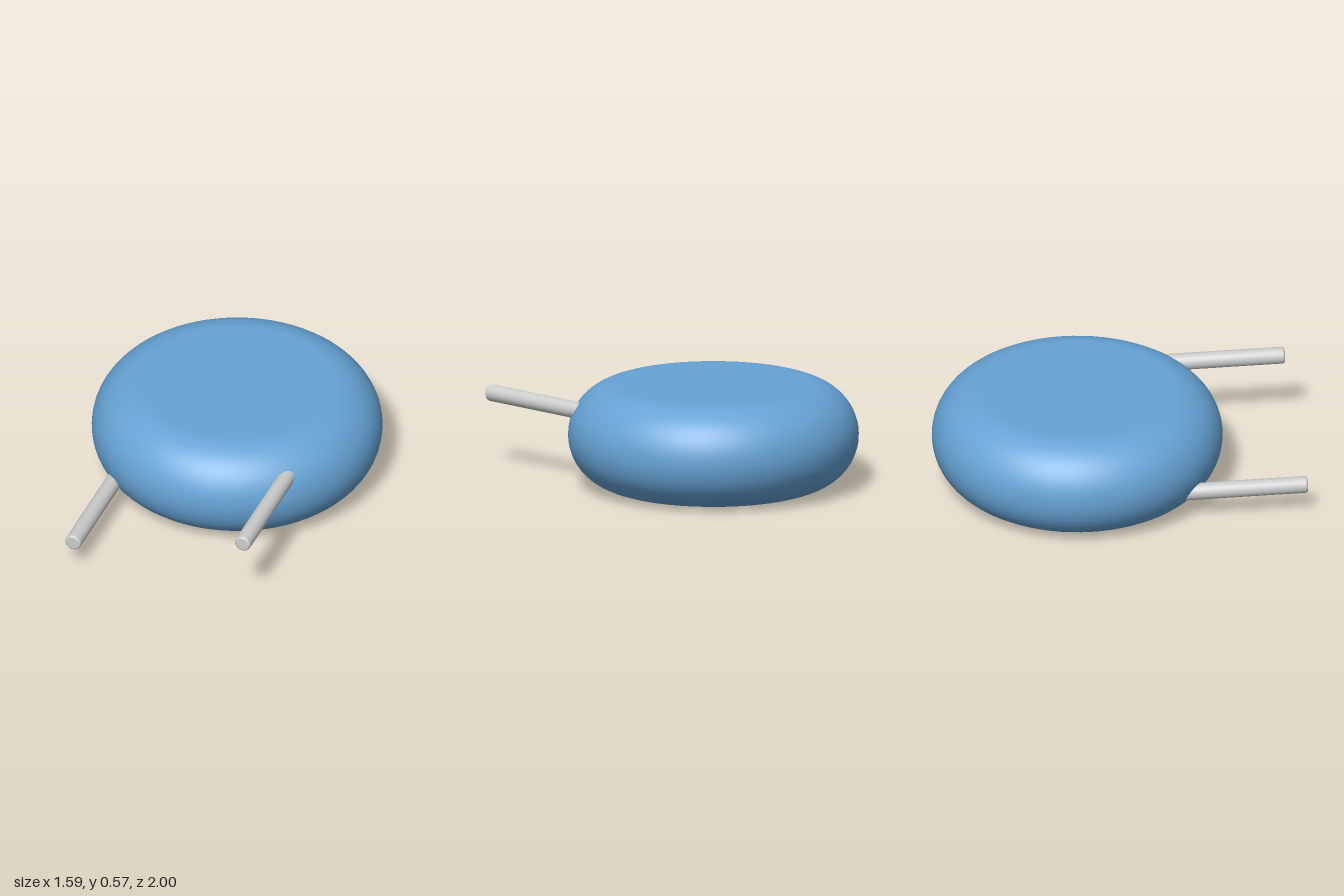
import * as THREE from 'three';

const grey = new THREE.MeshStandardMaterial({ color: 0xcccccc });
const blue = new THREE.MeshStandardMaterial({ color: 0x66a3d5 });

// Disc with a fully rounded rim
function makeBody() {
  const flat = 0.51, r = 0.285;
  const profile = [new THREE.Vector2(0, -r)];
  for (let i = 0; i <= 24; i++) {
    const a = -Math.PI / 2 + (Math.PI * i) / 24;
    profile.push(new THREE.Vector2(flat + r * Math.cos(a), r * Math.sin(a)));
  }
  profile.push(new THREE.Vector2(0, r));
  const body = new THREE.Mesh(new THREE.LatheGeometry(profile, 72), blue);
  body.position.set(0, r, -0.205);
  body.name = 'discBody';
  return body;
}

// Straight round lead with a softened tip, running forward out of the body
function makeLead(name, x, y) {
  const r = 0.046, start = 0.2, end = 1, bevel = 0.014;
  const profile = [new THREE.Vector2(0, start), new THREE.Vector2(r, start)];
  for (let i = 0; i <= 4; i++) {
    const a = (Math.PI / 2) * (i / 4);
    profile.push(new THREE.Vector2(r - bevel + bevel * Math.cos(a), end - bevel + bevel * Math.sin(a)));
  }
  profile.push(new THREE.Vector2(0, end));
  const lead = new THREE.Mesh(new THREE.LatheGeometry(profile, 24).rotateX(Math.PI / 2), grey);
  lead.position.set(x, y, 0);
  lead.name = name;
  return lead;
}

export function createModel() {
  const model = new THREE.Group();
  model.name = 'discComponent';
  model.add(
    makeBody(),
    makeLead('leftLead', 0.497, 0.415),
    makeLead('rightLead', -0.497, 0.163)
  );
  return model;
}
